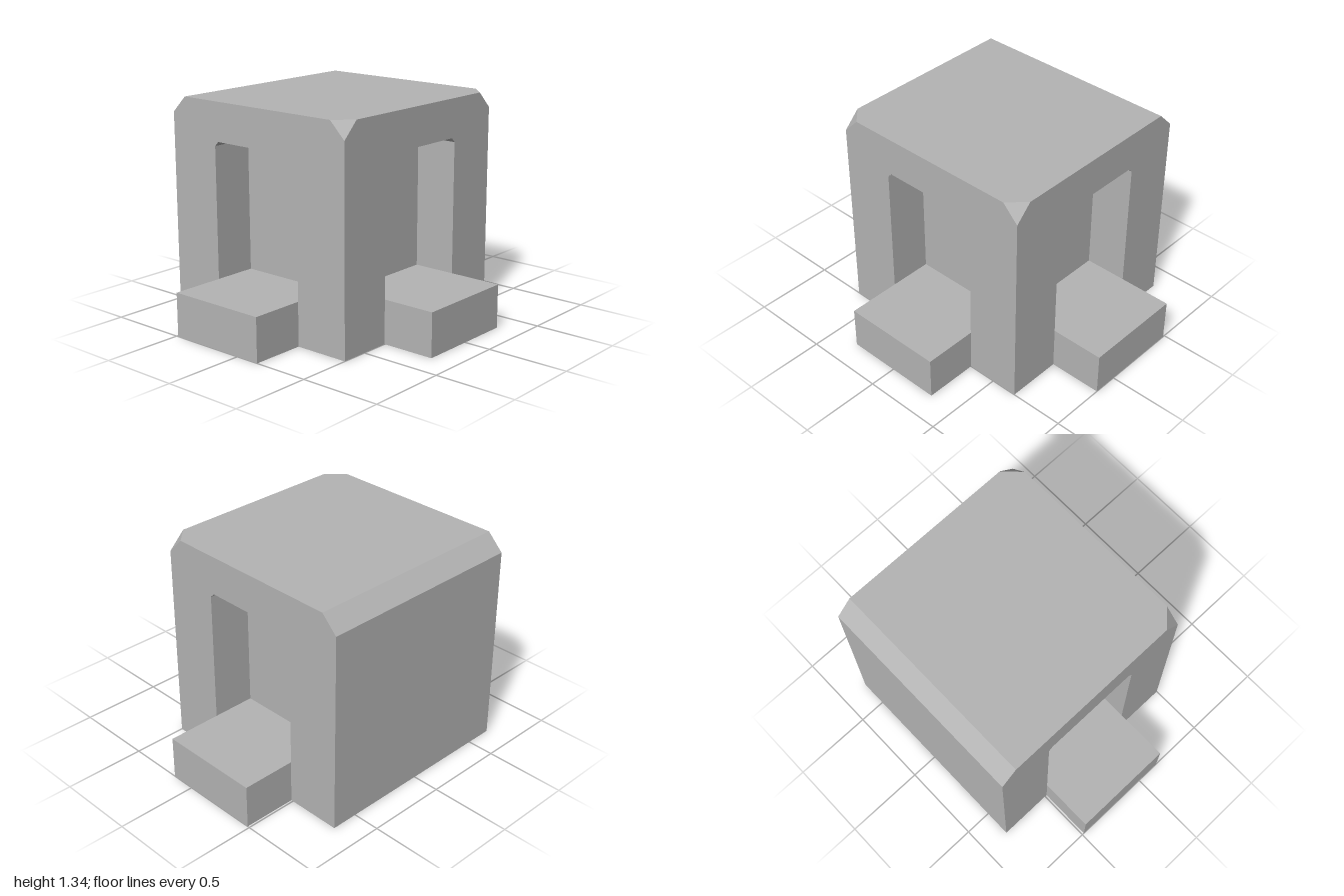
import * as THREE from 'three';

const A = 0.666;      // half width of the square block
const H = 1.335;      // block height
const C = 0.1;        // bevel size
const D = 0.32;       // half width of doorway and step
const S = 0.268;      // step height
const OUT = 0.334;    // how far a step sticks out
const DEEP = 0.267;   // alcove depth
const TOP = 1.1;      // alcove top
const B = 0.027;      // small bevel of the alcove corners

const stone = new THREE.MeshStandardMaterial({ color: 0xb4b4b4 });
stone.name = 'grey stone';

function mesh(name, geometry) {
  const m = new THREE.Mesh(geometry, stone);
  m.name = name;
  return m;
}

// Flat convex faces, each a counter-clockwise loop of corners
function faces(name, loops) {
  const pos = [];
  for (const p of loops)
    for (let i = 1; i < p.length - 1; i++) pos.push(...p[0], ...p[i], ...p[i + 1]);
  const g = new THREE.BufferGeometry();
  g.setAttribute('position', new THREE.Float32BufferAttribute(pos, 3));
  g.computeVertexNormals();
  return mesh(name, g);
}

const flat = (points) =>
  new THREE.ShapeGeometry(new THREE.Shape(points.map(([x, y]) => new THREE.Vector2(x, y))));

// One side of the block: wall with a recessed alcove and a step, facing +z
function createEntrance(name) {
  const g = new THREE.Group();
  g.name = name;
  const arch = [[D, S], [D, TOP - B], [D - B, TOP], [-D + B, TOP], [-D, TOP - B], [-D, S]];

  g.add(mesh('wall', flat([
    [D, 0], [A, 0], [A, H - C], [A - C, H], [-A + C, H], [-A, H - C], [-A, 0], [-D, 0],
    ...arch.slice().reverse(),
  ])));

  const back = mesh('alcoveBack', flat(arch));
  back.position.z = -DEEP;
  g.add(back);

  const reveal = [];
  for (let i = 0; i < arch.length - 1; i++) {
    const p = arch[i], q = arch[i + 1];
    reveal.push([[...p, 0], [...q, 0], [...q, -DEEP], [...p, -DEEP]]);
  }
  g.add(faces('alcoveReveal', reveal));

  g.add(faces('step', [
    [[-D, S, OUT], [D, S, OUT], [D, S, -DEEP], [-D, S, -DEEP]],
    [[-D, 0, OUT], [D, 0, OUT], [D, S, OUT], [-D, S, OUT]],
    [[D, 0, OUT], [D, 0, 0], [D, S, 0], [D, S, OUT]],
    [[-D, 0, 0], [-D, 0, OUT], [-D, S, OUT], [-D, S, 0]],
  ]));
  return g;
}

export function createModel() {
  const model = new THREE.Group();
  model.name = 'blockHouse';

  // Three identical entrances: front, left and back
  ['frontEntrance', 'leftEntrance', 'backEntrance'].forEach((name, i) => {
    const e = createEntrance(name);
    const angle = i * Math.PI / 2;
    e.rotation.y = angle;
    e.position.set(Math.sin(angle) * A, 0, Math.cos(angle) * A);
    model.add(e);
  });

  // Roof, plain side and its long bevel
  model.add(faces('roof', [[
    [-A + C, H, A], [A - C, H, A], [A, H, A - C],
    [A, H, -A + C], [A - C, H, -A], [-A + C, H, -A],
  ]]));
  model.add(faces('plainWall', [
    [[-A, 0, -A], [-A, 0, A], [-A, H - C, A], [-A, H - C, -A]],
  ]));
  model.add(faces('roofBevel', [
    [[-A, H - C, A], [-A + C, H, A], [-A + C, H, -A], [-A, H - C, -A]],
  ]));

  // Clipped roof corners
  model.add(faces('clippedCorners', [
    [[A, H - C, A], [A, H, A - C], [A - C, H, A]],
    [[A, H - C, -A], [A - C, H, -A], [A, H, -A + C]],
  ]));

  // Underside, including the three steps
  const E = A + OUT;
  const base = flat([
    [-A, -A], [-D, -A], [-D, -E], [D, -E], [D, -A], [A, -A], [A, -D], [E, -D],
    [E, D], [A, D], [A, A], [D, A], [D, E], [-D, E], [-D, A], [-A, A],
  ]);
  base.rotateX(Math.PI / 2);
  model.add(mesh('underside', base));

  // Centre the whole footprint
  model.children.forEach((part) => { part.position.x -= OUT / 2; });
  return model;
}
